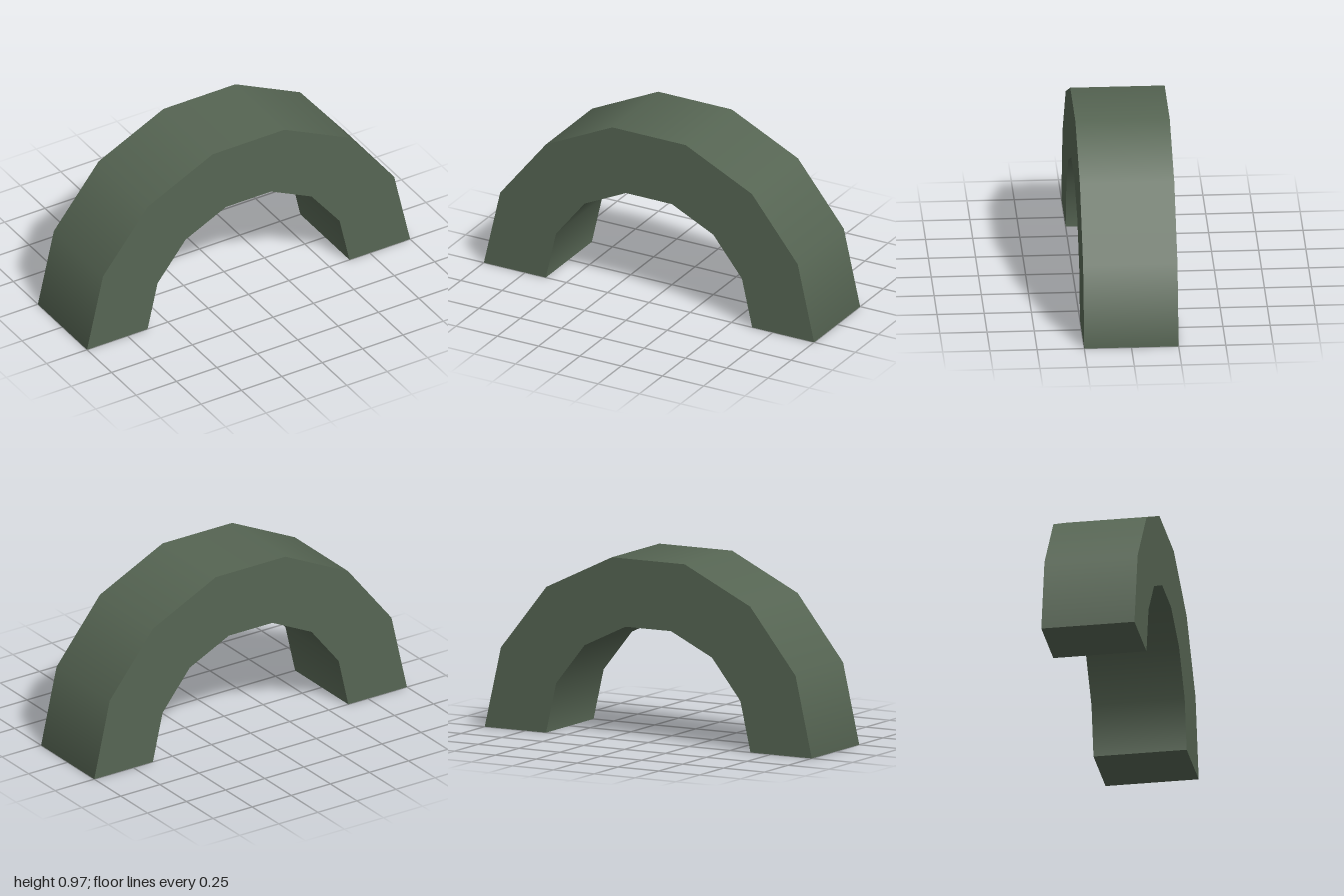
import * as THREE from 'three';

const OUTER = 1, INNER = 0.625, DEPTH = 0.5, SEGMENTS = 7;

// Points along a half circle, from +x over the top to -x
function halfCircle(radius) {
  return Array.from({ length: SEGMENTS + 1 }, (_, i) => {
    const a = (Math.PI * i) / SEGMENTS;
    return new THREE.Vector2(radius * Math.cos(a), radius * Math.sin(a));
  });
}

// Smooth the curved walls only; the end faces and feet stay flat
function smoothCurvedWalls(geometry) {
  const pos = geometry.attributes.position;
  const normals = geometry.attributes.normal;
  const p = new THREE.Vector3();
  const n = new THREE.Vector3();
  for (let i = 0; i < pos.count; i++) {
    p.fromBufferAttribute(pos, i);
    n.fromBufferAttribute(normals, i);
    const isFoot = n.y < -0.99 && p.y < 0.01;
    if (Math.abs(n.z) > 0.5 || isFoot) continue;
    p.z = 0;
    p.normalize().multiplyScalar(Math.sign(p.dot(n)));
    normals.setXYZ(i, p.x, p.y, 0);
  }
  return geometry;
}

export function createModel() {
  const mossGreen = new THREE.MeshStandardMaterial({ color: 0x566553 });
  mossGreen.name = 'mossGreen';

  // Half-ring block extruded front to back
  const outline = new THREE.Shape([...halfCircle(OUTER), ...halfCircle(INNER).reverse()]);
  const geometry = new THREE.ExtrudeGeometry(outline, { depth: DEPTH, bevelEnabled: false });
  geometry.translate(0, 0, -DEPTH / 2);

  const arch = new THREE.Mesh(smoothCurvedWalls(geometry), mossGreen);
  arch.name = 'arch';

  const model = new THREE.Group();
  model.name = 'archBlock';
  model.add(arch);
  return model;
}
